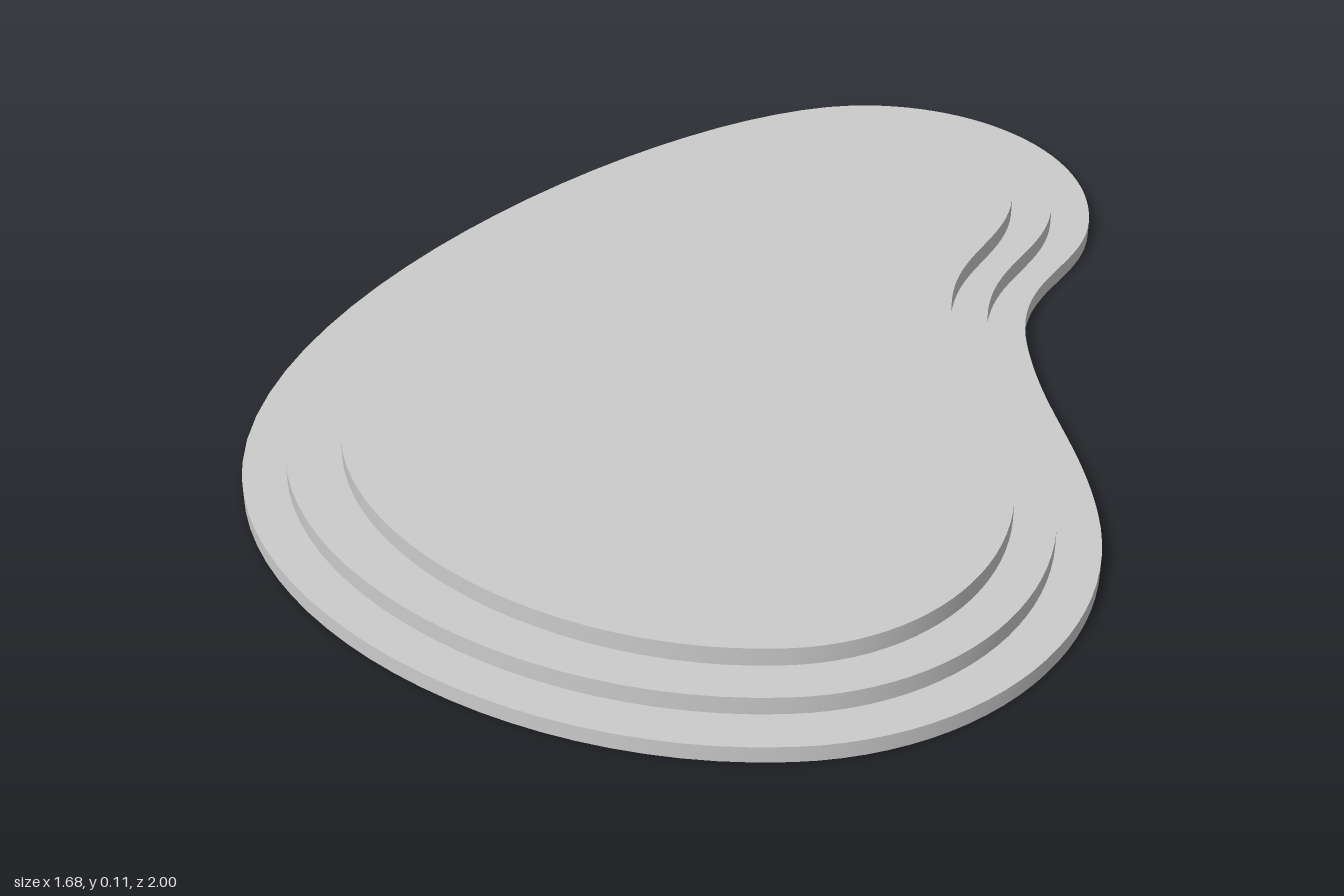
import * as THREE from 'three';

const material = new THREE.MeshStandardMaterial({ color: 0xcccccc, side: THREE.DoubleSide });

// Turning points of each kidney outline (x, z): left, back, right, waist, bulge, front
const tiers = [
  { name: 'lowerTier', y0: 0, y1: 0.034,
    pts: [[-0.845, 0.19], [0.39, -1], [0.84, -0.6], [0.648, -0.1], [0.705, 0.42], [0.11, 1]] },
  { name: 'middleTier', y0: 0.034, y1: 0.071,
    pts: [[-0.763, 0.19], [0.38, -0.92], [0.76, -0.6], [0.57, -0.08], [0.625, 0.4], [0.11, 0.92]] },
  { name: 'upperTier', y0: 0.071, y1: 0.109,
    pts: [[-0.66, 0.19], [0.36, -0.845], [0.675, -0.585], [0.497, -0.07], [0.55, 0.38], [0.11, 0.84]] },
];

// Handle lengths per segment, as a share of the segment's extent
const handles = [[0.47, 0.32], [0.55, 0.55], [0.48, 0.52], [0.4, 0.4], [0.56, 0.56], [0.52, 0.5]];
// Whether the curve leaves each turning point along z (otherwise along x)
const alongZ = [true, false, true, true, true, false];

// Closed smooth outline, drawn with y = -z so that it can be laid flat
function outline(pts) {
  const shape = new THREE.Shape().moveTo(pts[0][0], -pts[0][1]);
  pts.forEach(([ax, az], i) => {
    const j = (i + 1) % pts.length;
    const [bx, bz] = pts[j];
    const [h0, h1] = handles[i];
    const c0 = alongZ[i] ? [ax, az + (bz - az) * h0] : [ax + (bx - ax) * h0, az];
    const c1 = alongZ[j] ? [bx, bz + (az - bz) * h1] : [bx + (ax - bx) * h1, bz];
    shape.bezierCurveTo(c0[0], -c0[1], c1[0], -c1[1], bx, -bz);
  });
  return shape;
}

// Upright band following an outline
function wallGeometry(shape, y0, y1) {
  const pts = shape.getPoints(24).reverse();
  const n = pts.length - 1;
  const geometry = new THREE.PlaneGeometry(1, 1, n, 1);
  const pos = geometry.attributes.position;
  for (let i = 0; i <= n; i++) {
    pos.setXYZ(i, pts[i].x, y1, -pts[i].y);
    pos.setXYZ(i + n + 1, pts[i].x, y0, -pts[i].y);
  }
  geometry.computeVertexNormals();
  return geometry;
}

export function createModel() {
  const model = new THREE.Group();
  model.name = 'steppedPlatform';

  tiers.forEach(({ name, y0, y1, pts }, i) => {
    const tier = new THREE.Group();
    tier.name = name;

    const shape = outline(pts);
    const wall = new THREE.Mesh(wallGeometry(shape, y0, y1), material);
    wall.name = 'riser';

    // Flat tread, open where the next tier rises so the shell is hollow below
    const next = tiers[i + 1];
    if (next) shape.holes.push(outline(next.pts));
    const tread = new THREE.Mesh(new THREE.ShapeGeometry(shape, 24).rotateX(-Math.PI / 2), material);
    tread.name = next ? 'tread' : 'topSurface';
    tread.position.y = y1;

    tier.add(wall, tread);
    model.add(tier);
  });

  return model;
}
